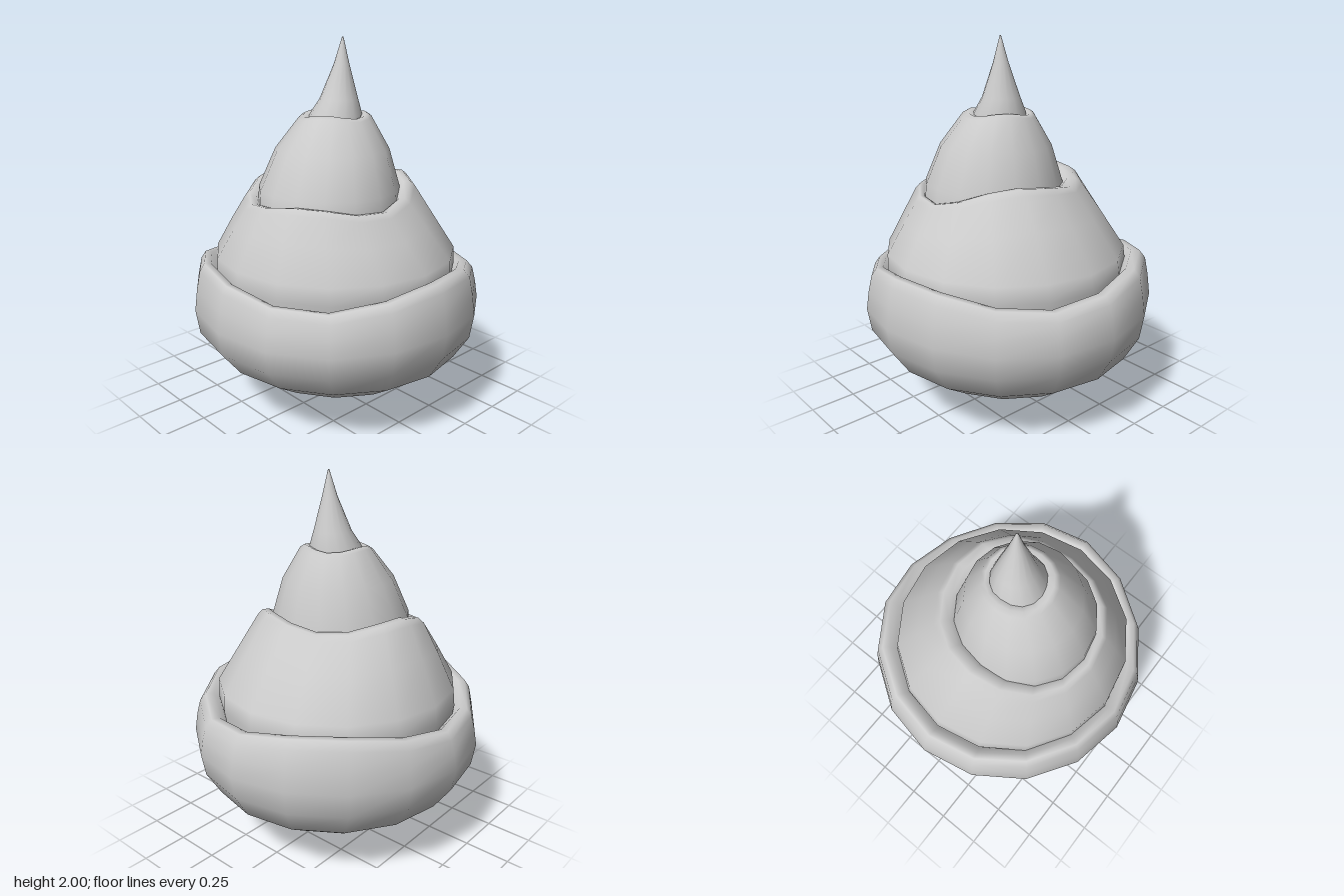
import * as THREE from 'three';

const SIDES = 16;
const material = new THREE.MeshStandardMaterial({ color: 0xcccccc });

// Skin through rings listed from bottom to top: [radius, y, centreX, centreZ, waviness]
function tier(name, rings, { wave = 0, peak = 0, tilt = 0, tiltDir = 0 } = {}) {
  const points = [], index = [];
  const rad = THREE.MathUtils.degToRad;
  for (const [r, y, cx = 0, cz = 0, w = 0] of rings) {
    for (let i = 0; i < SIDES; i++) {
      const a = (i / SIDES) * Math.PI * 2;
      const lift = wave * Math.cos(3 * (a - rad(peak))) + tilt * Math.cos(a - rad(tiltDir));
      points.push(cx + r * Math.cos(a), y + w * lift, cz + r * Math.sin(a));
    }
  }
  for (let j = 0; j < rings.length - 1; j++) {
    for (let i = 0; i < SIDES; i++) {
      const n = (i + 1) % SIDES;
      const a = j * SIDES + i, b = j * SIDES + n;
      index.push(a, a + SIDES, b, b, a + SIDES, b + SIDES);
    }
  }
  const geometry = new THREE.BufferGeometry();
  geometry.setAttribute('position', new THREE.Float32BufferAttribute(points, 3));
  geometry.setIndex(index);
  geometry.computeVertexNormals();
  const mesh = new THREE.Mesh(geometry, material);
  mesh.name = name;
  return mesh;
}

export function createModel() {
  const group = new THREE.Group();
  group.name = 'tieredSwirl';

  // Short stem under the body
  const stem = new THREE.Mesh(new THREE.CylinderGeometry(0.078, 0.083, 0.2, 12), material);
  stem.position.set(0.02, 0.1, 0.005);
  stem.name = 'stem';
  group.add(stem);

  // Wide rounded bottom tier with a wavy rim
  group.add(tier('bottomTier', [
    [0.004, 0.123, 0.02, 0],
    [0.325, 0.153, 0.02, 0],
    [0.51, 0.225, 0.02, 0],
    [0.68, 0.342, 0.015, 0],
    [0.77, 0.475, 0, 0, 0.1],
    [0.79, 0.6, 0, 0, 0.25],
    [0.775, 0.7, 0, 0, 0.6],
    [0.755, 0.785, 0, 0, 0.95],
    [0.725, 0.824, -0.005, 0, 1],
    [0.685, 0.822, -0.01, 0, 1],
    [0.655, 0.785, -0.01, 0, 1],
    [0.6, 0.75, -0.01, 0, 1],
  ], { wave: 0.043, peak: 83 }));

  // Middle tier, tapering, with a wavy tilted rim
  group.add(tier('middleTier', [
    [0.64, 0.7, -0.01, 0],
    [0.657, 0.8, -0.012, 0.003],
    [0.65, 0.89, -0.015, 0.008],
    [0.54, 1.07, -0.045, 0.01, 0.6],
    [0.455, 1.205, -0.065, 0.015, 1],
    [0.425, 1.232, -0.068, 0.02, 1],
    [0.39, 1.23, -0.075, 0.03, 1],
    [0.365, 1.2, -0.08, 0.035, 1],
    [0.32, 1.17, -0.08, 0.035, 1],
  ], { wave: 0.033, peak: 30, tilt: 0.047, tiltDir: -30 }));

  // Upper tier
  group.add(tier('upperTier', [
    [0.38, 1.15, -0.08, 0.035],
    [0.372, 1.24, -0.08, 0.033],
    [0.298, 1.44, -0.06, 0.035],
    [0.19, 1.6, -0.038, 0.03, 1],
    [0.165, 1.614, -0.036, 0.03, 1],
    [0.135, 1.605, -0.033, 0.03, 1],
    [0.1, 1.59, -0.033, 0.03, 1],
  ], { wave: 0.01, peak: 30 }));

  // Pointed tip
  group.add(tier('tip', [
    [0.14, 1.56, -0.032, 0.03],
    [0.138, 1.61, -0.03, 0.03],
    [0.1, 1.69, -0.013, 0.035],
    [0.04, 1.865, -0.003, 0.045],
    [0.003, 2, 0, 0.05],
  ]));

  return group;
}
